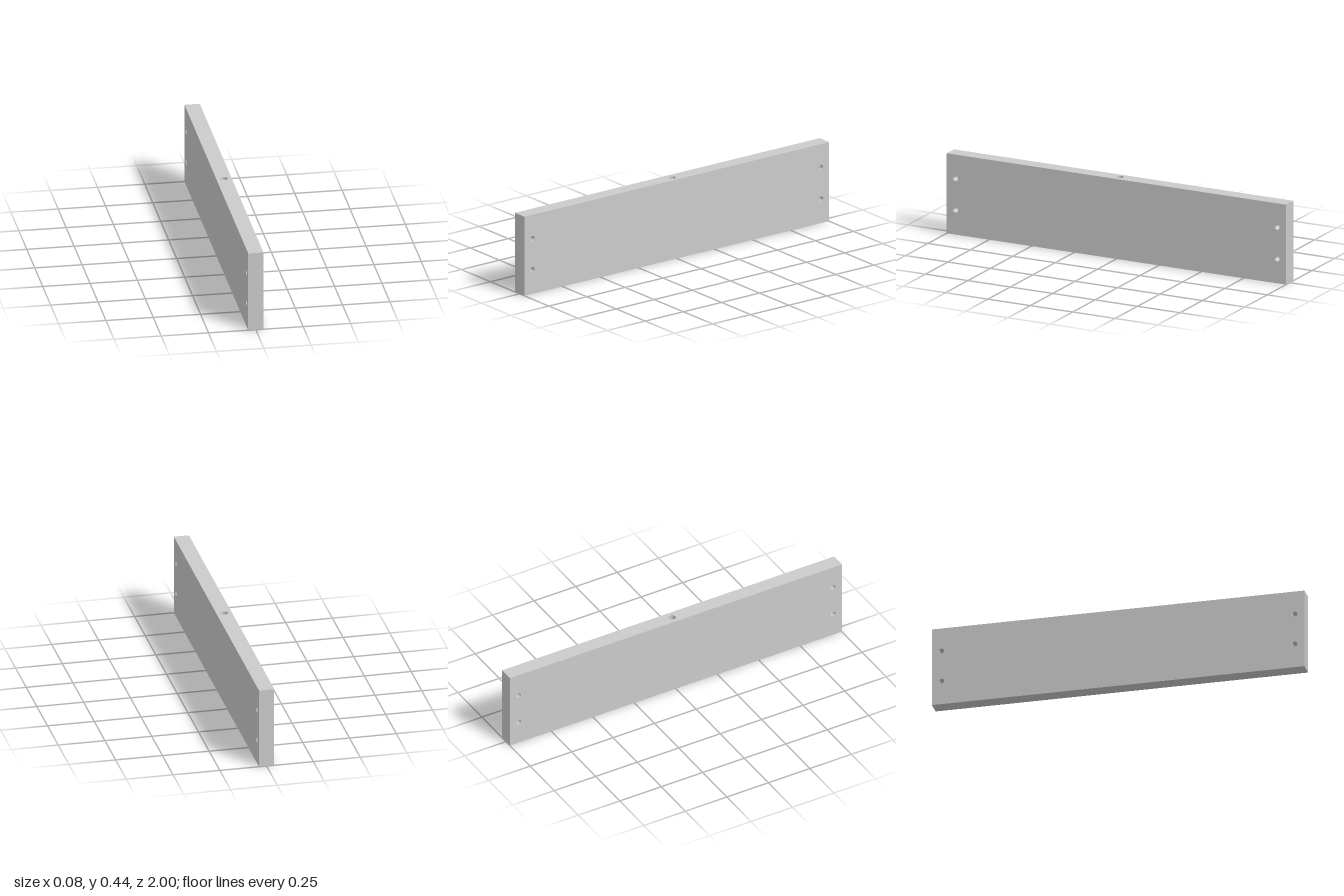
import * as THREE from 'three';

const THICK = 0.081, HEIGHT = 0.435, LENGTH = 2;
const SEGMENTS = 32;
const BOLT_R = 0.014, BOLT_Z = 0.948, BOLT_YS = [0.133, 0.305];
const TOP_R = 0.02, TOP_DEPTH = 0.2;

export function createModel() {
  const group = new THREE.Group();
  group.name = 'drilledBoard';
  const material = new THREE.MeshStandardMaterial({ color: 0xcccccc });

  const add = (name, geometry, x, y, z) => {
    const mesh = new THREE.Mesh(geometry, material);
    mesh.name = name;
    mesh.position.set(x, y, z);
    group.add(mesh);
    return mesh;
  };

  // Flat rectangle centred on its origin, with round holes [x, y, radius]
  const panel = (w, h, holes = []) => {
    const shape = new THREE.Shape([
      new THREE.Vector2(-w / 2, -h / 2), new THREE.Vector2(w / 2, -h / 2),
      new THREE.Vector2(w / 2, h / 2), new THREE.Vector2(-w / 2, h / 2),
    ]);
    for (const [x, y, r] of holes) {
      shape.holes.push(new THREE.Path().absarc(x, y, r, 0, Math.PI * 2, true));
    }
    return new THREE.ShapeGeometry(shape, SEGMENTS);
  };

  // Inward-facing wall of a hole, centred on its origin along y
  const bore = (r, depth) => new THREE.LatheGeometry(
    [new THREE.Vector2(r, depth / 2), new THREE.Vector2(r, -depth / 2)], SEGMENTS);

  // Broad faces and ends
  const boltHoles = [-1, 1].flatMap((s) =>
    BOLT_YS.map((y) => [s * BOLT_Z, y - HEIGHT / 2, BOLT_R]));
  for (const s of [1, -1]) {
    add(s > 0 ? 'leftFace' : 'rightFace', panel(LENGTH, HEIGHT, boltHoles),
      s * THICK / 2, HEIGHT / 2, 0).rotation.y = s * Math.PI / 2;
    add(s > 0 ? 'frontEnd' : 'backEnd', panel(THICK, HEIGHT),
      0, HEIGHT / 2, s * LENGTH / 2).rotation.y = s > 0 ? 0 : Math.PI;
  }

  // Top and bottom edges
  add('topEdge', panel(THICK, LENGTH, [[0, 0, TOP_R]]), 0, HEIGHT, 0).rotation.x = -Math.PI / 2;
  add('bottomEdge', panel(THICK, LENGTH), 0, 0, 0).rotation.x = Math.PI / 2;

  // Through holes near both ends
  for (const [z, y] of boltHoles) {
    add('boltHole', bore(BOLT_R, THICK), 0, y + HEIGHT / 2, z).rotation.z = Math.PI / 2;
  }

  // Blind hole in the middle of the top edge
  add('topHoleWall', bore(TOP_R, TOP_DEPTH), 0, HEIGHT - TOP_DEPTH / 2, 0);
  add('topHoleFloor', new THREE.CircleGeometry(TOP_R, SEGMENTS),
    0, HEIGHT - TOP_DEPTH, 0).rotation.x = -Math.PI / 2;

  return group;
}
